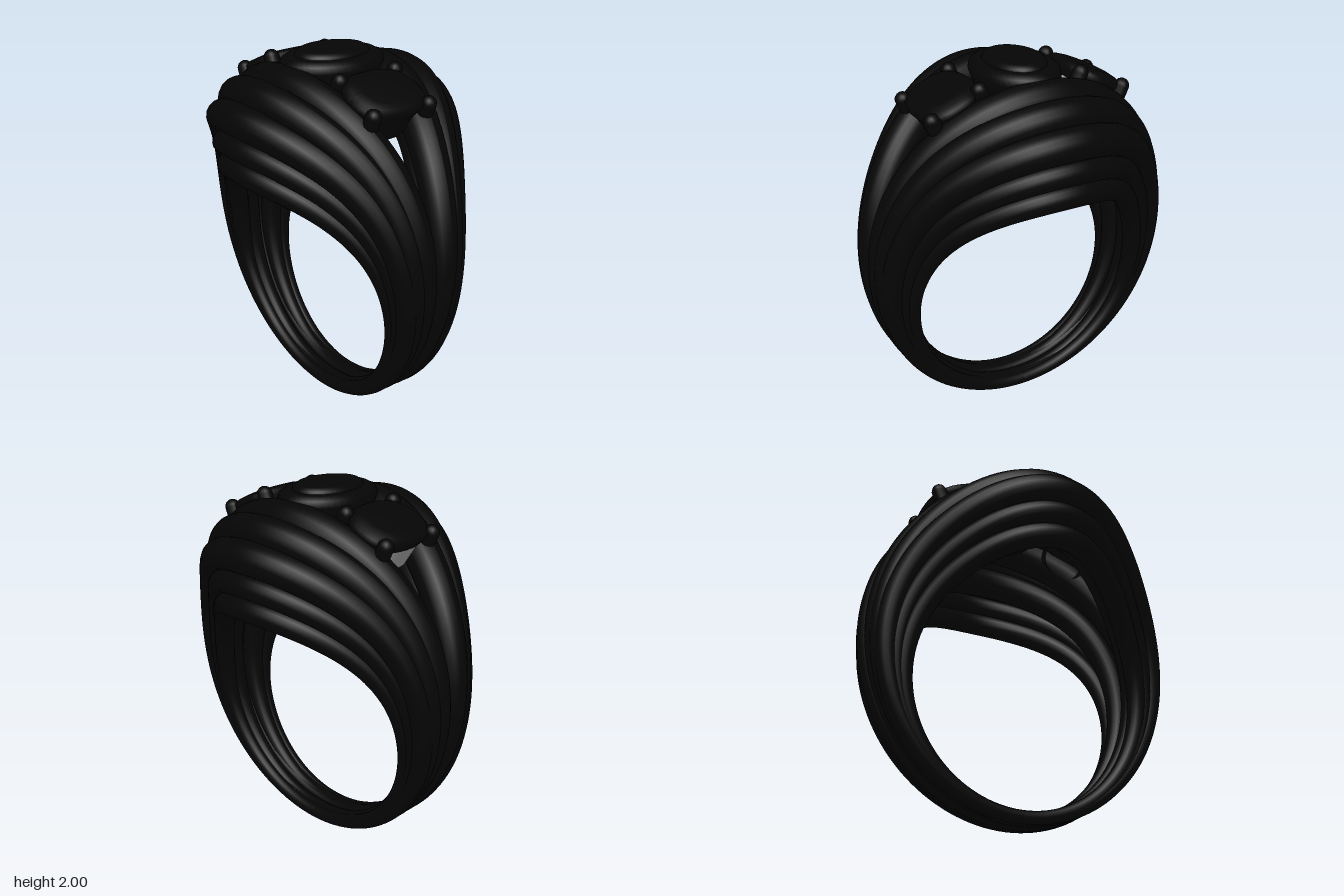
import * as THREE from 'three';

const black = new THREE.MeshStandardMaterial({ color: 0x050505, side: THREE.DoubleSide });
black.name = 'polished black';
const grey = new THREE.MeshStandardMaterial({ color: 0xb4b4b4, side: THREE.DoubleSide });
grey.name = 'pale grey';

// Strand: loop around the finger that fans out in z and thickens toward the top
const strands = [
  { name: 'innerStrand', w: 0.815, top: 1.84, zb: 0.035, zt: 0.29, r: 0.105 },
  { name: 'crownStrand', w: 0.81, top: 1.81, zb: 0.065, zt: 0.462, r: 0.091 },
  { name: 'shoulderStrand', w: 0.795, top: 1.71, zb: 0.09, zt: 0.575, r: 0.087 },
  { name: 'edgeStrand', w: 0.74, top: 1.565, zb: 0.09, zt: 0.585, r: 0.066 },
  { name: 'fingerStrand', w: 0.697, top: 1.435, zb: 0.09, zt: 0.57, r: 0.066 },
  { name: 'liningStrand', w: 0.712, top: 1.62, zb: 0.045, zt: 0.37, r: 0.088 },
];
const BOTTOM = 0.037, R0 = 0.036;

function strandGeometry({ w, top, zb, zt, r }, side) {
  const N = 128, M = 18, pos = [], idx = [];
  const rise = (a) => (1 - Math.cos(a)) / 2;
  const centre = (a) => {
    const g = rise(a), f = 0.2 * g + 0.8 * g ** 6;
    return new THREE.Vector3(w * Math.sin(a), BOTTOM + (top - BOTTOM) * g, side * (zb + (zt - zb) * f));
  };
  for (let i = 0; i <= N; i++) {
    const a = (i / N) * Math.PI * 2, c = centre(a);
    const t = centre(a + 0.01).sub(centre(a - 0.01)).normalize();
    const out = new THREE.Vector3().crossVectors(t, new THREE.Vector3(0, 0, 1)).normalize();
    const across = new THREE.Vector3().crossVectors(t, out);
    const rad = R0 + (r - R0) * rise(a);
    for (let j = 0; j <= M; j++) {
      const b = (j / M) * Math.PI * 2;
      const p = c.clone().addScaledVector(out, rad * Math.cos(b)).addScaledVector(across, rad * Math.sin(b));
      pos.push(p.x, p.y, p.z);
      if (i < N && j < M) {
        const k = i * (M + 1) + j, n = k + M + 1;
        idx.push(k, n, k + 1, k + 1, n, n + 1);
      }
    }
  }
  const geo = new THREE.BufferGeometry();
  geo.setAttribute('position', new THREE.Float32BufferAttribute(pos, 3));
  geo.setIndex(idx);
  geo.computeVertexNormals();
  return geo;
}

// Oval turned part: profile of [radius, height], stretched along z;
// power 2 keeps it elliptical, higher powers make it squarer
function oval(name, profile, stretch, power, material) {
  const geo = new THREE.LatheGeometry(profile.map(([x, y]) => new THREE.Vector2(x, y)), 48);
  const p = geo.attributes.position;
  for (let i = 0; i < p.count; i++) {
    const x = p.getX(i), z = p.getZ(i), d = Math.hypot(x, z) || 1;
    const k = (Math.abs(x / d) ** power + Math.abs(z / d) ** power) ** (-1 / power);
    if (x || z) p.setXYZ(i, x * k, p.getY(i), z * k * stretch);
  }
  geo.computeVertexNormals();
  const mesh = new THREE.Mesh(geo, material);
  mesh.name = name;
  return mesh;
}

// Side stone with an open basket and four claws, sloping away from the middle
function sideStone(s) {
  const g = new THREE.Group();
  g.name = s > 0 ? 'leftStone' : 'rightStone';
  g.add(oval('sideGem', [[0, -0.11], [0.12, -0.1], [0.155, -0.065], [0.17, -0.03], [0.168, -0.005], [0.15, 0.012], [0.11, 0.022], [0, 0.024]], 1.29, 2.6, black));
  g.add(oval('basket', [[0.135, -0.2], [0.155, -0.065]], 1.15, 2.6, s > 0 ? black : grey));
  for (const x of [-1, 1]) for (const z of [-1, 1]) {
    const claw = new THREE.Mesh(new THREE.CapsuleGeometry(0.042, 0.05, 6, 12), black);
    claw.name = 'claw';
    claw.position.set(x * 0.142, -0.035, z * 0.178);
    g.add(claw);
  }
  g.position.set(s * 0.425, 1.86, 0);
  g.rotation.z = -s * 0.42;
  return g;
}

export function createModel() {
  const ring = new THREE.Group();
  ring.name = 'ring';

  // Fluted band, mirrored front to back
  for (const side of [1, -1]) for (const s of strands) {
    const mesh = new THREE.Mesh(strandGeometry(s, side), black);
    mesh.name = s.name;
    ring.add(mesh);
  }

  // Centre stone: tapered cup, rounded rim and raised table
  ring.add(oval('centreSetting', [[0, 1.7], [0.1, 1.7], [0.17, 1.79], [0.205, 1.87], [0.223, 1.915], [0.215, 1.95], [0.188, 1.97], [0.15, 1.97]], 1.35, 2, black));
  ring.add(oval('centreGem', [[0.158, 1.96], [0.152, 1.982], [0.135, 1.997], [0.11, 2.0], [0, 2.0]], 1.38, 2, black));

  ring.add(sideStone(1), sideStone(-1));
  return ring;
}
